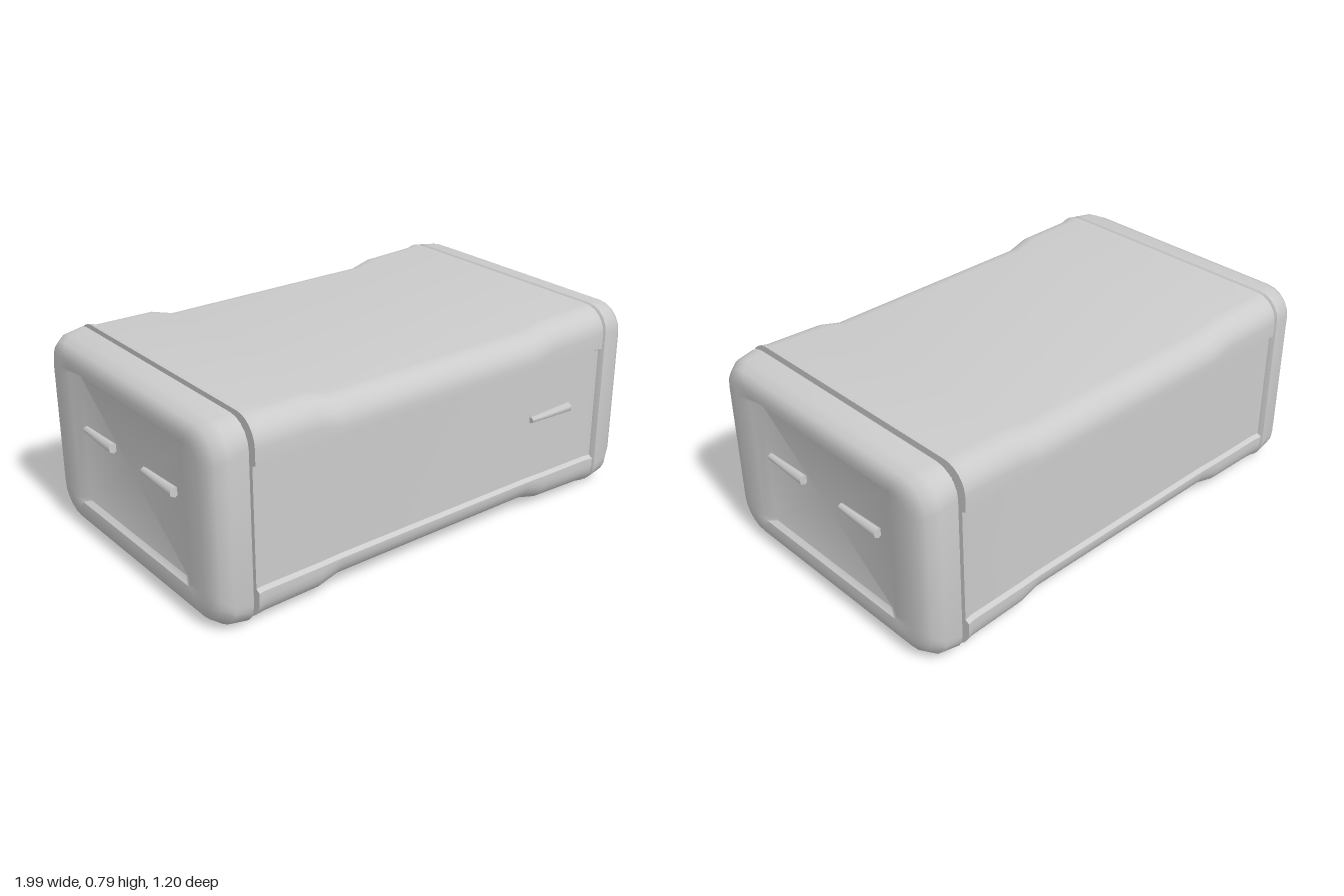
import * as THREE from 'three';
import { toCreasedNormals } from 'three/addons/utils/BufferGeometryUtils.js';

const material = new THREE.MeshStandardMaterial({ color: 0xcccccc });

// Closed skin through rings of [x, y, z] points, ordered from z towards y
function loft(rings) {
  const n = rings[0].length;
  const index = [];
  for (let i = 0; i < rings.length - 1; i++) {
    for (let j = 0; j < n; j++) {
      const a = i * n + j, b = i * n + (j + 1) % n;
      index.push(a, a + n, b + n, a, b + n, b);
    }
  }
  const last = (rings.length - 1) * n, c0 = rings.length * n, c1 = c0 + 1;
  for (let j = 0; j < n; j++) {
    const k = (j + 1) % n;
    index.push(c0, j, k, c1, last + k, last + j);
  }
  const centre = (ring) => [ring[0][0], ring.reduce((s, p) => s + p[1], 0) / n, 0];
  const points = [...rings.flat(), centre(rings[0]), centre(rings[rings.length - 1])];
  const geometry = new THREE.BufferGeometry();
  geometry.setAttribute('position', new THREE.Float32BufferAttribute(points.flat(), 3));
  geometry.setIndex(index);
  return toCreasedNormals(geometry, 0.65);
}

// Rounded rectangle across the case
function roundedRing([x, y0, y1, w, r]) {
  const ring = [];
  const corners = [[w - r, y1 - r], [r - w, y1 - r], [r - w, y0 + r], [w - r, y0 + r]];
  corners.forEach(([z, y], q) => {
    for (let k = 0; k <= 5; k++) {
      const a = (q + k / 5) * Math.PI / 2;
      ring.push([x, y + r * Math.sin(a), z + r * Math.cos(a)]);
    }
  });
  return ring;
}

// Body section: sunken side panels between rounded top and bottom rails
function bodyRing([x, y0, y1, w]) {
  const half = [[w - 0.018, 0.155], [w - 0.018, 0.622], [w, 0.632]];
  for (let k = 0; k <= 6; k++) {
    const a = k / 6 * Math.PI / 2;
    half.push([w - 0.1 + 0.1 * Math.cos(a), y1 - 0.1 + 0.1 * Math.sin(a)]);
  }
  const other = half.slice().reverse().map(([z, y]) => [-z, y]);
  const bottom = [[-w, 0.145]];
  for (let k = 0; k <= 6; k++) {
    const a = Math.PI + k / 6 * Math.PI / 2;
    bottom.push([0.1 - w + 0.1 * Math.cos(a), y0 + 0.1 + 0.1 * Math.sin(a)]);
  }
  const bottomOther = bottom.slice().reverse().map(([z, y]) => [-z, y]);
  return [...half, ...other, ...bottom, ...bottomOther].map(([z, y]) => [x, y, z]);
}

function add(parent, geometry, name) {
  const mesh = new THREE.Mesh(geometry, material);
  mesh.name = name;
  parent.add(mesh);
  return mesh;
}

// Slim tapered grip lying along z
function gripGeometry() {
  const geometry = new THREE.CylinderGeometry(0.013, 0.021, 0.21, 6);
  geometry.rotateX(Math.PI / 2);
  return geometry;
}

export function createModel() {
  const model = new THREE.Group();
  model.name = 'case';

  // Main body, thicker towards both ends
  const bodyStations = [
    [-0.835, 0.015, 0.795, 0.598], [-0.8, 0.017, 0.787, 0.594], [-0.56, 0.02, 0.785, 0.592],
    [-0.47, 0.042, 0.76, 0.588], [0.47, 0.042, 0.76, 0.588], [0.56, 0.02, 0.782, 0.592],
    [0.8, 0.014, 0.79, 0.596], [0.832, 0.012, 0.795, 0.602],
  ];
  add(model, loft(bodyStations.map(bodyRing)), 'body');

  // End caps with a sunken panel and two grips each
  const capStations = [
    [0.843, 0.02, 0.78, 0.575, 0.1], [0.856, 0.004, 0.793, 0.594, 0.1],
    [0.93, 0.012, 0.785, 0.59, 0.11], [0.97, 0.035, 0.768, 0.565, 0.11],
    [0.985, 0.06, 0.748, 0.535, 0.1], [0.991, 0.095, 0.72, 0.49, 0.08],
    [0.988, 0.13, 0.69, 0.4, 0.02], [0.968, 0.145, 0.675, 0.355, 0.015],
  ];
  const capGeometry = loft(capStations.map(roundedRing));
  for (const side of [1, -1]) {
    const cap = new THREE.Group();
    cap.name = side > 0 ? 'leftEndCap' : 'rightEndCap';
    add(cap, capGeometry, 'capShell');
    for (const z of [0.215, -0.21]) {
      add(cap, gripGeometry(), 'endGrip').position.set(0.978, 0.465, z);
    }
    if (side < 0) cap.rotation.y = Math.PI;
    model.add(cap);
  }

  // Core closing the narrow seams between body and caps
  const core = add(model, new THREE.BoxGeometry(1.72, 0.68, 1.08), 'seamCore');
  core.position.y = 0.4;

  // Single grip on the front panel
  const frontGrip = add(model, gripGeometry(), 'frontGrip');
  frontGrip.rotation.y = -Math.PI / 2;
  frontGrip.position.set(0.58, 0.412, 0.577);

  return model;
}
